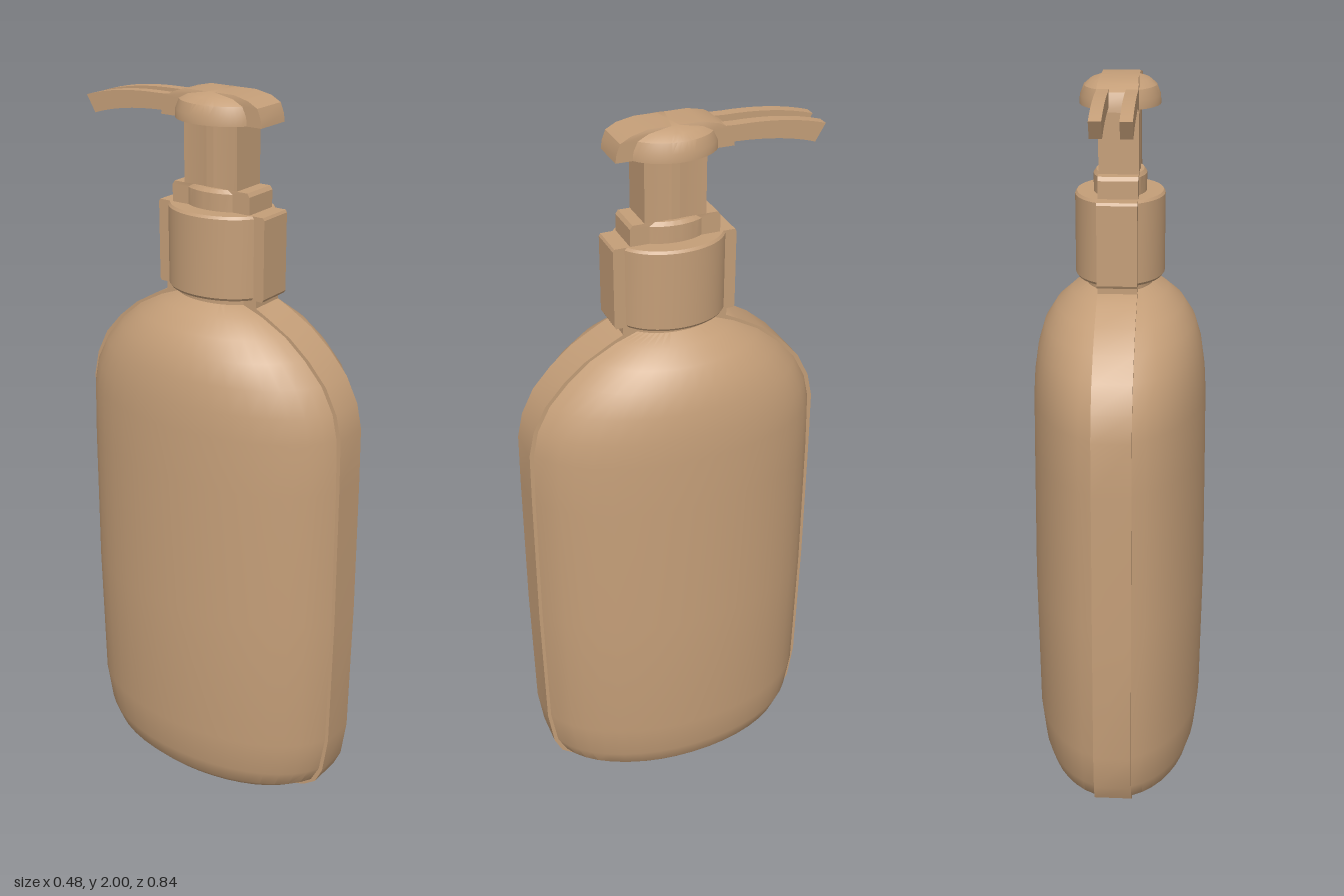
import * as THREE from 'three';
import { toCreasedNormals } from 'three/addons/utils/BufferGeometryUtils.js';

const BAND = 0.052; // half width of the flat band running over front and back
const SIDE = 18;    // segments along each curved flank

// Ring of [x, z]: two elliptical flanks joined by flat front and back band faces
function ring(hx, hz, bandZ) {
  const w = Math.min(BAND, hx * 0.98);
  const a = Math.acos(w / hx);
  const right = [];
  for (let i = 0; i <= SIDE; i++) {
    const t = -a + (2 * a * i) / SIDE;
    right.push([hx * Math.cos(t), hz * Math.sin(t)]);
  }
  const half = [[w, -bandZ], ...right, [w, bandZ]];
  return [...half, ...half.map(([x, z]) => [-x, z]).reverse()];
}

// Closed loft through rows of [y, half width, flank half depth, band half depth]
function loft(rows) {
  const pos = [], idx = [];
  const n = ring(1, 1, 1).length;
  for (const [y, hx, hz, bz] of rows) {
    for (const [x, z] of ring(hx, hz, bz)) pos.push(x, y, z);
  }
  for (let r = 0; r < rows.length - 1; r++) {
    for (let i = 0; i < n; i++) {
      const j = (i + 1) % n;
      const a = r * n + i, b = r * n + j;
      idx.push(a, a + n, b, b, a + n, b + n);
    }
  }
  const bottom = pos.length / 3, top = bottom + 1, last = (rows.length - 1) * n;
  pos.push(0, rows[0][0], 0, 0, rows[rows.length - 1][0], 0);
  for (let i = 0; i < n; i++) {
    const j = (i + 1) % n;
    idx.push(bottom, i, j, top, last + j, last + i);
  }
  const g = new THREE.BufferGeometry();
  g.setAttribute('position', new THREE.Float32BufferAttribute(pos, 3));
  g.setIndex(idx);
  return toCreasedNormals(g, 0.5);
}

export function createModel() {
  const group = new THREE.Group();
  const tan = new THREE.MeshStandardMaterial({ color: 0xc49e78 });
  tan.name = 'tan plastic';

  const add = (name, geometry) => {
    const mesh = new THREE.Mesh(geometry, tan);
    mesh.name = name;
    group.add(mesh);
    return mesh;
  };

  // Bottle with rounded base and shoulders
  add('bottleBody', loft([
    [0, 0.155, 0.29, 0.3],
    [0.012, 0.185, 0.33, 0.335],
    [0.04, 0.21, 0.37, 0.373],
    [0.09, 0.225, 0.395, 0.396],
    [0.2, 0.237, 0.412, 0.412],
    [0.6, 0.242, 0.418, 0.418],
    [1.0, 0.238, 0.417, 0.417],
    [1.15, 0.236, 0.413, 0.415],
    [1.22, 0.232, 0.398, 0.4],
    [1.29, 0.222, 0.362, 0.365],
    [1.35, 0.204, 0.308, 0.312],
    [1.4, 0.173, 0.25, 0.253],
    [1.44, 0.13, 0.18, 0.184],
    [1.465, 0.085, 0.125, 0.135],
  ]));

  // Neck under the cap
  add('neck', loft([[1.45, 0.09, 0.13, 0.145], [1.485, 0.09, 0.13, 0.145]]));

  // Screw cap with protruding band
  add('cap', loft([
    [1.48, 0.114, 0.147, 0.164],
    [1.487, 0.119, 0.152, 0.168],
    [1.697, 0.119, 0.152, 0.168],
    [1.704, 0.114, 0.147, 0.164],
  ]));

  // Collar above the cap
  add('collar', loft([
    [1.7, 0.07, 0.105, 0.122],
    [1.75, 0.07, 0.105, 0.122],
    [1.76, 0.063, 0.098, 0.115],
  ]));

  // Pump stem
  add('stem', loft([[1.755, 0.054, 0.065, 0.083], [1.935, 0.054, 0.065, 0.083]]));

  // Domed pump head
  add('pumpHead', loft([
    [1.928, 0.105, 0.128, 0.156],
    [1.95, 0.104, 0.127, 0.153],
    [1.975, 0.094, 0.118, 0.143],
    [1.99, 0.076, 0.095, 0.115],
    [2.0, 0.05, 0.055, 0.07],
  ]));

  // Nozzle: two curved rails with an open channel between them
  const arm = new THREE.Shape();
  arm.moveTo(0.09, 1.983);
  arm.lineTo(0.16, 1.98);
  arm.quadraticCurveTo(0.3, 1.982, 0.405, 1.95);
  arm.lineTo(0.378, 1.905);
  arm.quadraticCurveTo(0.29, 1.935, 0.16, 1.938);
  arm.lineTo(0.09, 1.938);
  const rail = new THREE.ExtrudeGeometry(arm, { depth: 0.031, bevelEnabled: false, curveSegments: 8 });
  rail.rotateY(Math.PI / 2);
  const railGeometry = toCreasedNormals(rail, 0.5);
  add('nozzleRailLeft', railGeometry).position.x = BAND - 0.031;
  add('nozzleRailRight', railGeometry).position.x = -BAND;

  return group;
}
